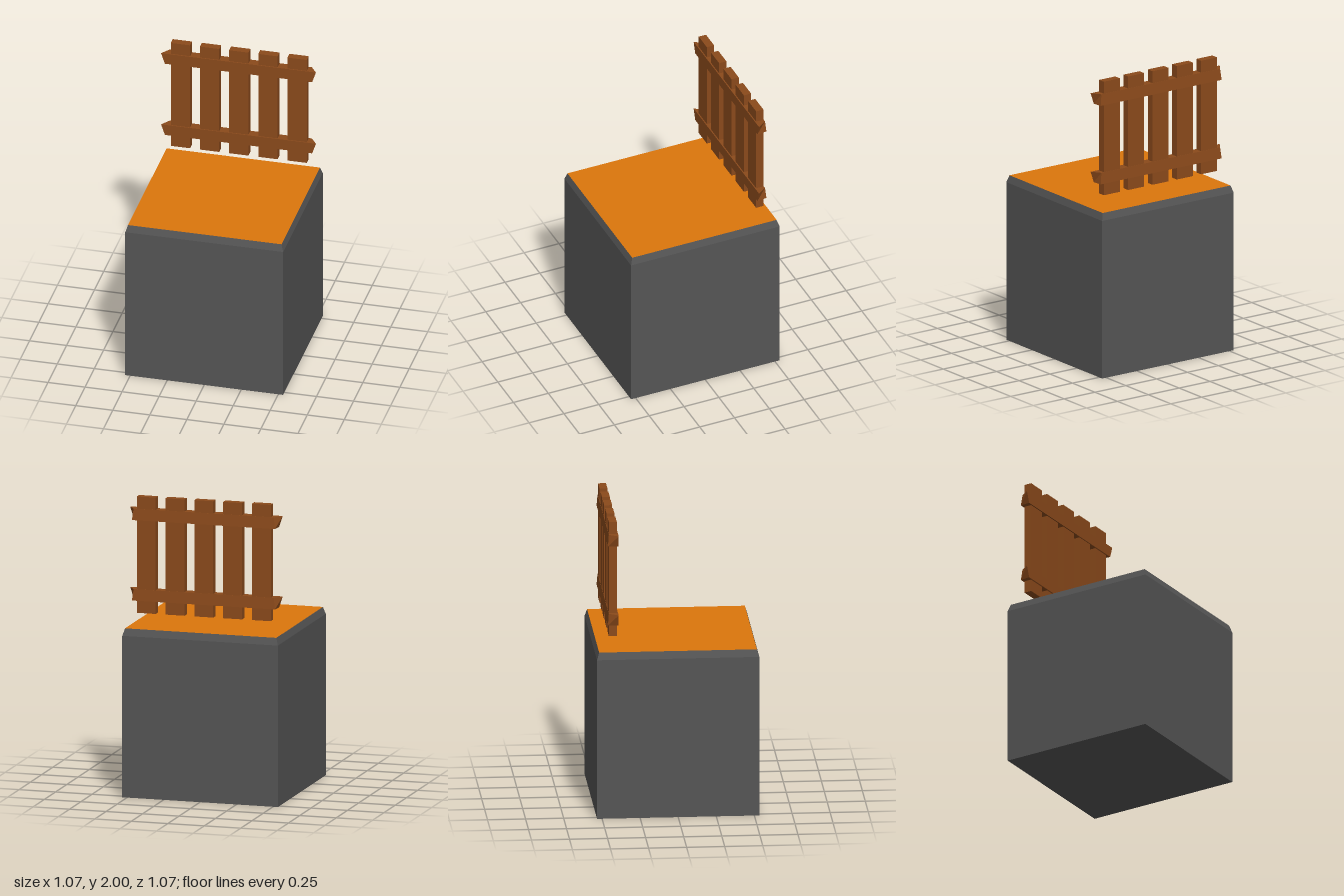
import * as THREE from 'three';

const paint = (color) => new THREE.MeshStandardMaterial({ color, flatShading: true });

export function createModel() {
  const model = new THREE.Group();
  model.name = 'fencedBlock';
  const stone = paint(0x555555);
  const ground = paint(0xdc760c);
  const wood = paint(0x8b4a1b);

  const add = (parent, name, geometry, material, x = 0, y = 0, z = 0) => {
    const mesh = new THREE.Mesh(geometry, material);
    mesh.name = name;
    mesh.position.set(x, y, z);
    parent.add(mesh);
    return mesh;
  };

  // Square block with a bevelled upper rim: four-sided lathe of half-widths
  const profile = [[0, 0], [0.533, 0], [0.533, 1.08], [0.518, 1.128]]
    .map(([half, y]) => new THREE.Vector2(half * Math.SQRT2, y));
  add(model, 'block', new THREE.LatheGeometry(profile, 4, Math.PI / 4), stone);

  // Coloured top surface
  const top = new THREE.PlaneGeometry(1.036, 1.036).rotateX(-Math.PI / 2);
  add(model, 'topSurface', top, ground, 0, 1.128, 0);

  // Fence hovering near the back edge
  const fence = new THREE.Group();
  fence.name = 'fence';
  fence.position.z = -0.424;
  model.add(fence);

  // Five upright pickets
  for (let i = -2; i <= 2; i++) {
    add(fence, 'picket', new THREE.BoxGeometry(0.13, 0.778, 0.052), wood, i * 0.197, 1.611, 0);
  }

  // Two rails, ends slanted inward towards the bottom and the back
  for (const y of [1.342, 1.88]) {
    const rail = new THREE.BoxGeometry(2, 0.076, 0.068);
    const p = rail.attributes.position;
    for (let i = 0; i < p.count; i++) {
      const isTop = p.getY(i) > 0;
      const isFront = p.getZ(i) > 0;
      const half = isFront ? (isTop ? 0.523 : 0.497) : (isTop ? 0.48 : 0.49);
      p.setX(i, Math.sign(p.getX(i)) * half);
      if (isTop && !isFront) p.setZ(i, p.getZ(i) + 0.006);
    }
    rail.computeVertexNormals();
    add(fence, 'rail', rail, wood, 0, y, 0);
  }

  return model;
}
